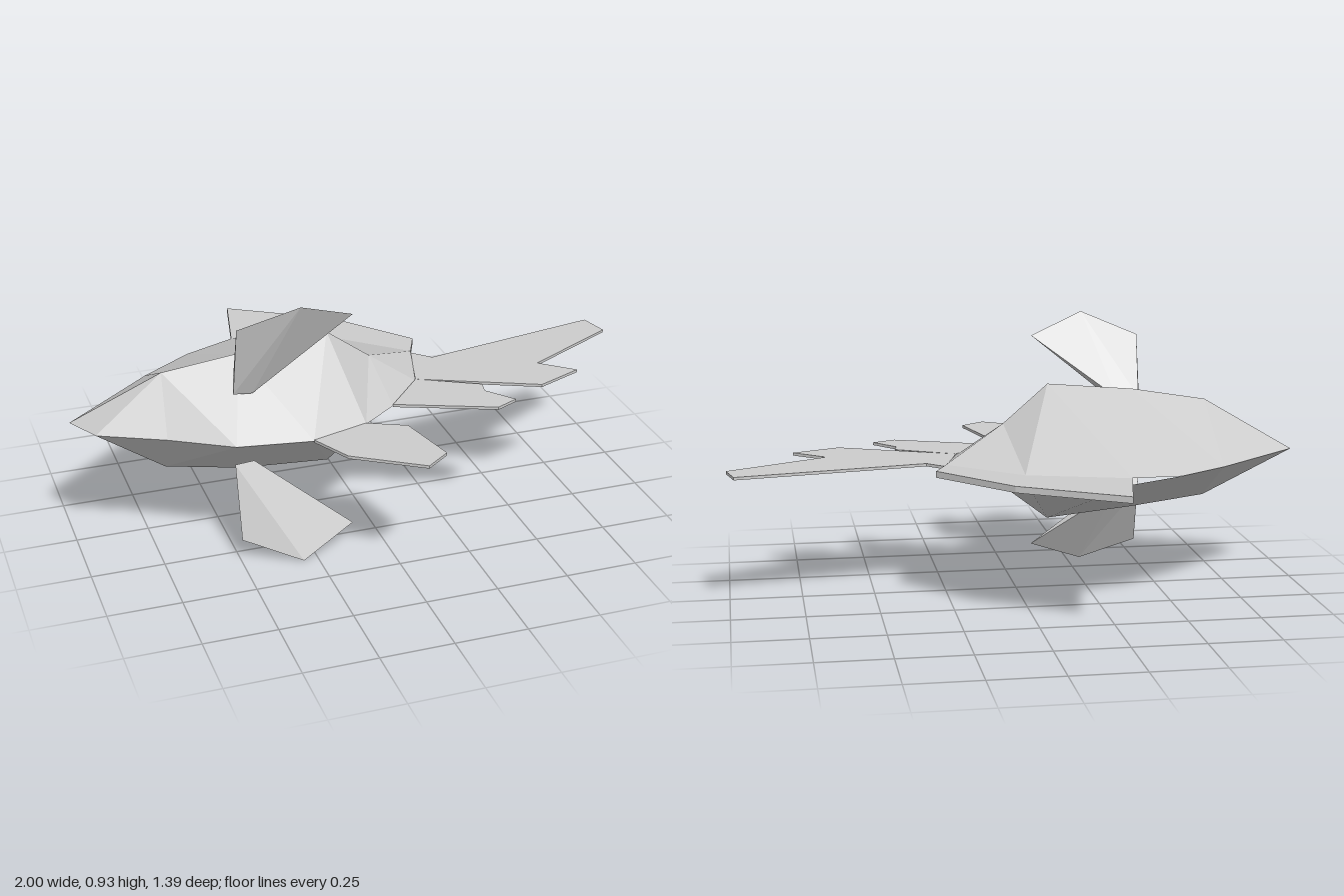
import * as THREE from 'three';

const MID = 0.47; // height of the symmetry plane

export function createModel() {
  const fish = new THREE.Group();
  fish.name = 'fish';
  const grey = new THREE.MeshStandardMaterial({ color: 0xcccccc, flatShading: true });
  grey.name = 'pale grey';

  const add = (name, geometry) => {
    const mesh = new THREE.Mesh(geometry, grey);
    mesh.name = name;
    fish.add(mesh);
  };

  // Faceted geometry from named points; side -1 mirrors it below the symmetry plane
  const faceted = (points, faces, side) => {
    const pos = [];
    for (const face of faces) {
      const names = face.split(' ');
      if (side < 0) names.reverse();
      for (const n of names) {
        const [x, h, z] = points[n];
        pos.push(x, MID + side * h, z);
      }
    }
    const g = new THREE.BufferGeometry();
    g.setAttribute('position', new THREE.Float32BufferAttribute(pos, 3));
    g.computeVertexNormals();
    return g;
  };

  // Body: back edge (d), flank ridge (r) and belly edge (v), as x, height, z
  const body = {
    d0: [-1, 0, 0.025], d1: [-0.68, 0, -0.25], d2: [-0.5, 0, -0.375],
    d3: [-0.32, 0.011, -0.43], d4: [0.02, 0.011, -0.33], d5: [0.26, 0.011, -0.12],
    r1: [-0.7, 0.175, 0.105], r2: [-0.44, 0.215, 0.125],
    r3: [-0.13, 0.243, 0.112], r4: [0.035, 0.113, 0.07],
    v1: [-0.935, 0, 0.145], v2: [-0.72, 0, 0.25], v3: [-0.52, 0, 0.37], v4: [-0.27, 0, 0.41],
    v5: [-0.07, 0, 0.35], v6: [0.06, 0, 0.25], v7: [0.2, 0, 0.09],
  };
  const bodyFaces = [
    'r1 d1 d0', 'r1 r2 d1', 'r2 d2 d1', 'r2 d3 d2', 'r2 r3 d3', 'r3 d4 d3', 'r3 r4 d4', 'r4 d5 d4',
    'r4 v7 d5', 'r4 v6 v7', 'r4 v5 v6', 'r3 v5 r4', 'r3 v4 v5', 'r3 r2 v4', 'r2 v3 v4', 'r2 r1 v3',
    'r1 v2 v3', 'r1 v1 v2', 'r1 d0 v1',
  ];

  // Side fin: thick root (f front, b back) tapering to a three-point edge (t)
  const fin = {
    f1: [-0.495, 0.13, 0.25], f2: [-0.43, 0.125, 0.25],
    b1: [-0.48, 0.172, 0.2], b2: [-0.4, 0.172, 0.2],
    t1: [-0.495, 0.385, 0.313], t2: [-0.3, 0.465, 0.378], t3: [-0.105, 0.388, 0.313],
  };
  const finFaces = [
    'f1 f2 t2', 'f1 t2 t1', 'f2 t3 t2', 'b1 t2 b2', 'b1 t1 t2', 'b2 t2 t3',
    'f1 t1 b1', 'f2 b2 t3', 'f1 b1 b2', 'f1 b2 f2',
  ];

  for (const [side, label] of [[1, 'upper'], [-1, 'lower']]) {
    add(label + 'BodyHalf', faceted(body, bodyFaces, side));
    add(label + 'SideFin', faceted(fin, finFaces, side));
  }

  // Flat fins: outlines in x, z extruded across the symmetry plane
  const plate = (name, thickness, outline) => {
    const shape = new THREE.Shape(outline.map(([x, z]) => new THREE.Vector2(x, z)));
    const g = new THREE.ExtrudeGeometry(shape, { depth: thickness, bevelEnabled: false });
    g.rotateX(Math.PI / 2);
    g.translate(0, MID + thickness / 2, 0);
    add(name, g);
  };
  plate('backFin', 0.022, [[-0.32, -0.43], [-0.262, -0.7], [0.08, -0.49], [0.305, -0.22],
    [0.26, -0.12], [0.02, -0.33]]);
  plate('tailFin', 0.01, [[0.26, -0.12], [0.32, -0.06], [0.975, -0.185], [1, -0.08],
    [0.655, 0.105], [0.765, 0.2], [0.6, 0.27], [0.2, 0.09]]);
  plate('rearBellyFin', 0.01, [[0.2, 0.09], [0.405, 0.2], [0.395, 0.25], [0.47, 0.345],
    [0.39, 0.383], [0.06, 0.25]]);
  plate('frontBellyFin', 0.01, [[-0.07, 0.35], [0.055, 0.41], [0.107, 0.63], [0.022, 0.695],
    [-0.2, 0.55], [-0.27, 0.41]]);

  return fish;
}
